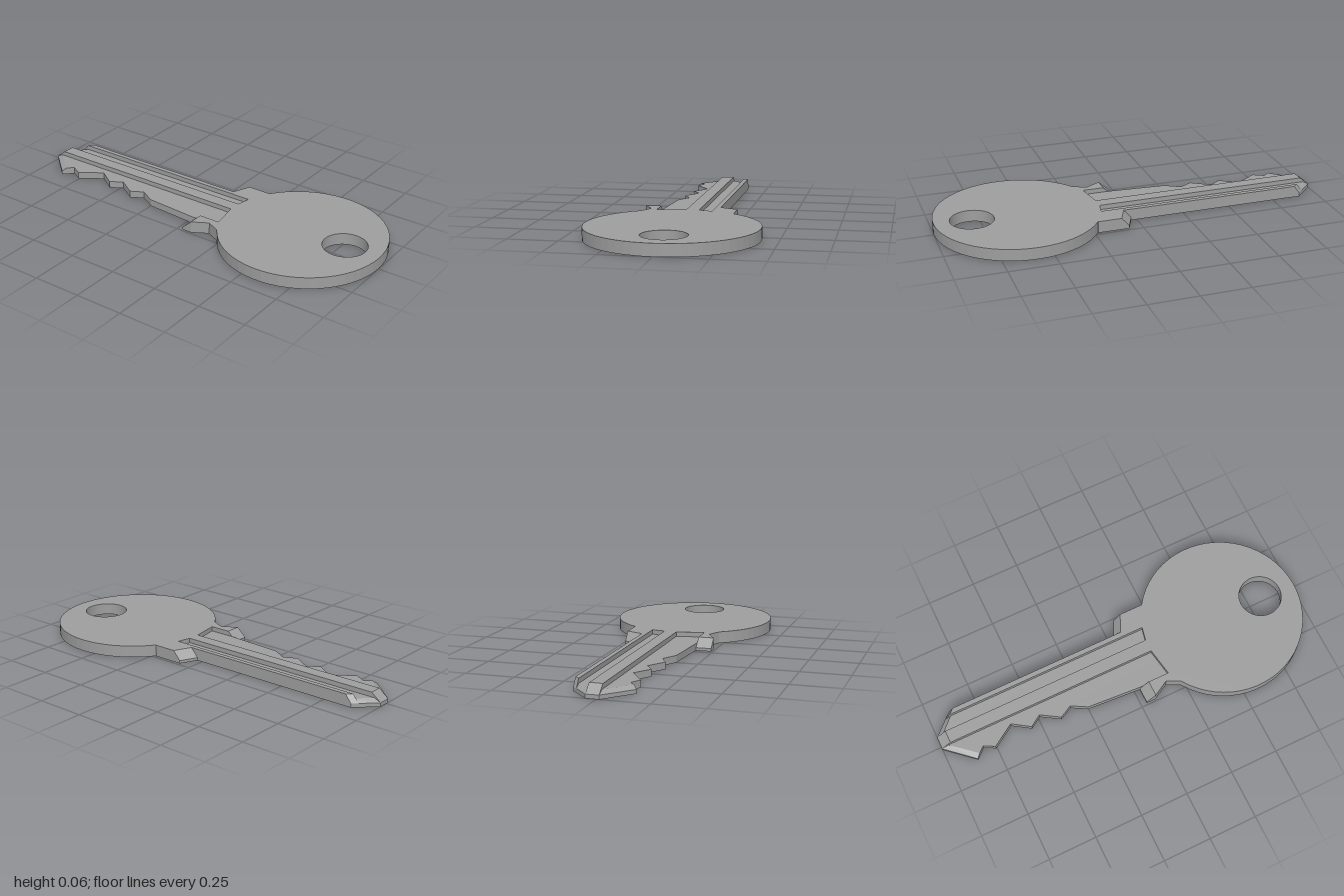
import * as THREE from 'three';

const LOW = 0.036, TOP = 0.06;            // height of the milled floor and of the full plate
const BOW = { x: 0.58, r: 0.419 };

// Upright-sided plate from an (x, z) outline
function plate(name, points, y0, y1, material, hole) {
  const shape = new THREE.Shape(points.map(([x, z]) => new THREE.Vector2(x, z)));
  if (hole) shape.holes.push(hole);
  const geo = new THREE.ExtrudeGeometry(shape, { depth: y1 - y0, bevelEnabled: false, curveSegments: 40 });
  geo.rotateX(Math.PI / 2).translate(0, y1, 0);
  const mesh = new THREE.Mesh(geo, material);
  mesh.name = name;
  return mesh;
}

// Four-cornered chamfer piece: the top is low over the first two corners
function ramp(name, corners, lowY, highY, material) {
  const mesh = plate(name, corners, 0, highY, material);
  const p = mesh.geometry.attributes.position;
  const isLow = (x, z) => corners.slice(0, 2).some(c => Math.hypot(c[0] - x, c[1] - z) < 1e-4);
  for (let i = 0; i < p.count; i++) {
    if (p.getY(i) > highY / 2 && isLow(p.getX(i), p.getZ(i))) p.setY(i, lowY);
  }
  mesh.geometry.computeVertexNormals();
  return mesh;
}

export function createModel() {
  const key = new THREE.Group();
  key.name = 'key';
  const metal = new THREE.MeshStandardMaterial({ color: 0x9e9e9e, flatShading: true });

  // Round bow, running from the back shoulder to the front one
  const arc = [];
  const start = -Math.PI + 0.59, end = Math.PI - 0.58;
  for (let i = 0; i <= 48; i++) {
    const a = start + (end - start) * i / 48;
    arc.push([BOW.x + BOW.r * Math.cos(a), BOW.r * Math.sin(a)]);
  }
  const ringHole = () => new THREE.Path().absarc(0.81, -0.01, 0.11, 0, Math.PI * 2, true);
  const bow = [[0.07, -0.145], [0.11, -0.235], [0.23, -0.235], ...arc,
    [0.16, 0.195], [0.08, 0.24], [0.08, 0.16]];
  const teeth = [[-0.25, 0.14], [-0.33, 0.095], [-0.395, 0.13], [-0.49, 0.07], [-0.55, 0.11],
    [-0.64, 0.05], [-0.755, 0.125], [-0.81, 0.095], [-0.84, 0.122]];

  // Lower layer: its top is the floor of the grooves
  key.add(plate('bladeAndBowBase', [[-0.87, -0.145], ...bow, [0.03, 0.16], ...teeth,
    [-0.965, 0.015], [-0.95, 0.015], [-0.95, -0.05], [-0.965, -0.05], [-0.895, -0.12]],
  0, LOW, metal, ringHole()));

  // Upper layer: bow with the back rail and the centre ridge, groove between them
  key.add(plate('bowAndRidges', [[-0.87, -0.145], ...bow, [0.19, 0.16],
    [0.165, 0.015], [-0.95, 0.015], [-0.95, -0.05], [0.165, -0.05], [0.18, -0.12], [-0.895, -0.12]],
  LOW, TOP, metal, ringHole()));

  // Chamfers around the tip of the blade and on the two shoulders
  const ramps = [
    ['ridgeTip', [[-1, -0.05], [-1, 0.015], [-0.95, 0.015], [-0.95, -0.05]], 0.02, TOP],
    ['frontTip', [[-1, 0.015], [-0.86, 0.14], [-0.84, 0.122], [-0.965, 0.015]], 0.02, LOW],
    ['backTip', [[-1, -0.05], [-0.926, -0.12], [-0.895, -0.12], [-0.965, -0.05]], 0.02, LOW],
    ['railTip', [[-0.926, -0.12], [-0.9, -0.145], [-0.87, -0.145], [-0.895, -0.12]], 0.02, TOP],
    ['backShoulder', [[0.03, -0.145], [0.07, -0.235], [0.11, -0.235], [0.07, -0.145]], 0.015, TOP],
    ['frontShoulder', [[0.03, 0.16], [0.03, 0.24], [0.08, 0.24], [0.08, 0.16]], 0.015, TOP],
  ];
  for (const [name, corners, lowY, highY] of ramps) key.add(ramp(name, corners, lowY, highY, metal));

  return key;
}
